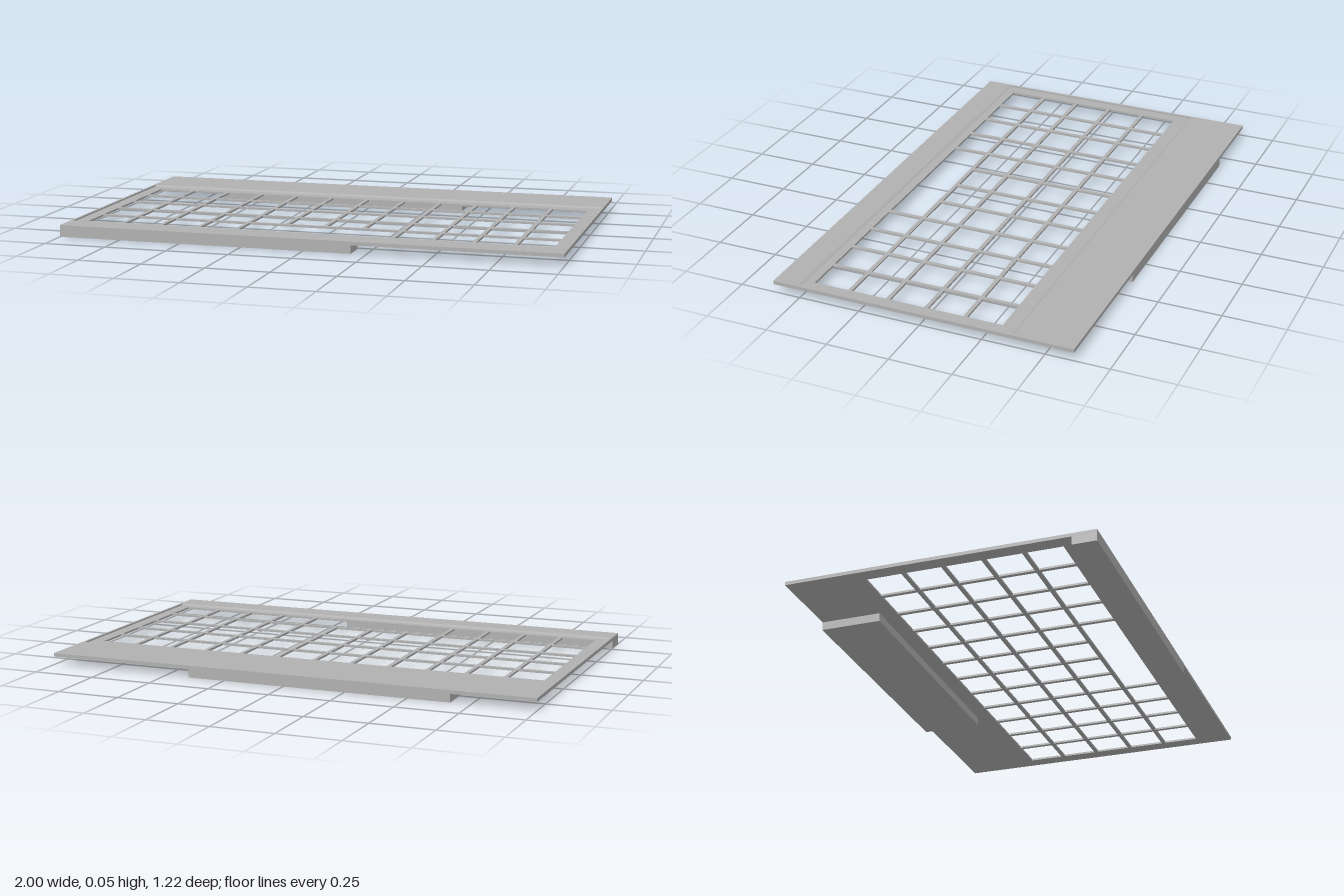
import * as THREE from 'three';

const grey = new THREE.MeshStandardMaterial({ color: 0xb0b0b0 });
grey.name = 'grey';

const HALF_W = 1, HALF_D = 0.611;
const UNDER = 0.033, DECK = 0.041, TOP = 0.047;
const PITCH = 0.158, BAR = 0.016;

function rect(target, x0, z0, x1, z1) {
  target.moveTo(x0, z0);
  target.lineTo(x1, z0);
  target.lineTo(x1, z1);
  target.lineTo(x0, z1);
  target.closePath();
  return target;
}

export function createModel() {
  const model = new THREE.Group();
  model.name = 'keyboardCover';

  const add = (name, geometry) => {
    const mesh = new THREE.Mesh(geometry, grey);
    mesh.name = name;
    model.add(mesh);
  };
  const box = (name, x0, x1, y0, y1, z0, z1) => {
    const g = new THREE.BoxGeometry(x1 - x0, y1 - y0, z1 - z0);
    g.translate((x0 + x1) / 2, (y0 + y1) / 2, (z0 + z1) / 2);
    add(name, g);
  };

  // Key deck: 12 x 5 openings, with one wide space-bar opening in the front row
  const deck = rect(new THREE.Shape(), -HALF_W, -HALF_D, HALF_W, HALF_D);
  const opening = (column, row, span) => {
    const x = (column - 6) * PITCH, z = (row - 2) * PITCH;
    deck.holes.push(rect(new THREE.Path(),
      x + BAR / 2, z + BAR / 2, x + span * PITCH - BAR / 2, z + PITCH - BAR / 2));
  };
  for (let row = 0; row < 5; row++) {
    for (let column = 0; column < 12; column++) {
      const spaceBar = row === 4 && column >= 4 && column < 8;
      if (!spaceBar) opening(column, row, 1);
      else if (column === 4) opening(column, row, 4);
    }
  }
  const deckGeometry = new THREE.ExtrudeGeometry(deck, { depth: DECK - UNDER, bevelEnabled: false });
  deckGeometry.rotateX(Math.PI / 2).translate(0, DECK, 0);
  add('keyDeck', deckGeometry);

  // Raised shelves behind and in front of the keys, sloping down to the deck
  const shelf = (name, points) => {
    const profile = new THREE.Shape(points.map(([z, y]) => new THREE.Vector2(z, y)));
    const g = new THREE.ExtrudeGeometry(profile, { depth: 2 * HALF_W, bevelEnabled: false });
    add(name, g.rotateY(-Math.PI / 2).translate(HALF_W, 0, 0));
  };
  shelf('backShelf', [[-HALF_D, DECK], [-0.364, DECK], [-0.374, TOP], [-HALF_D, TOP]]);
  shelf('frontShelf', [[0.5, DECK], [HALF_D, DECK], [HALF_D, TOP], [0.51, TOP]]);

  // Thin rims along both sides
  box('rightRim', -HALF_W, -0.99, DECK, TOP, -0.374, 0.51);
  box('leftRim', 0.99, HALF_W, DECK, TOP, -0.374, 0.51);

  // Blocks under the deck
  box('backBlock', -0.67, 0.4, 0, UNDER, -HALF_D, -0.37);
  box('frontBlock', -HALF_W, 0.19, 0, UNDER, 0.516, HALF_D);

  return model;
}
